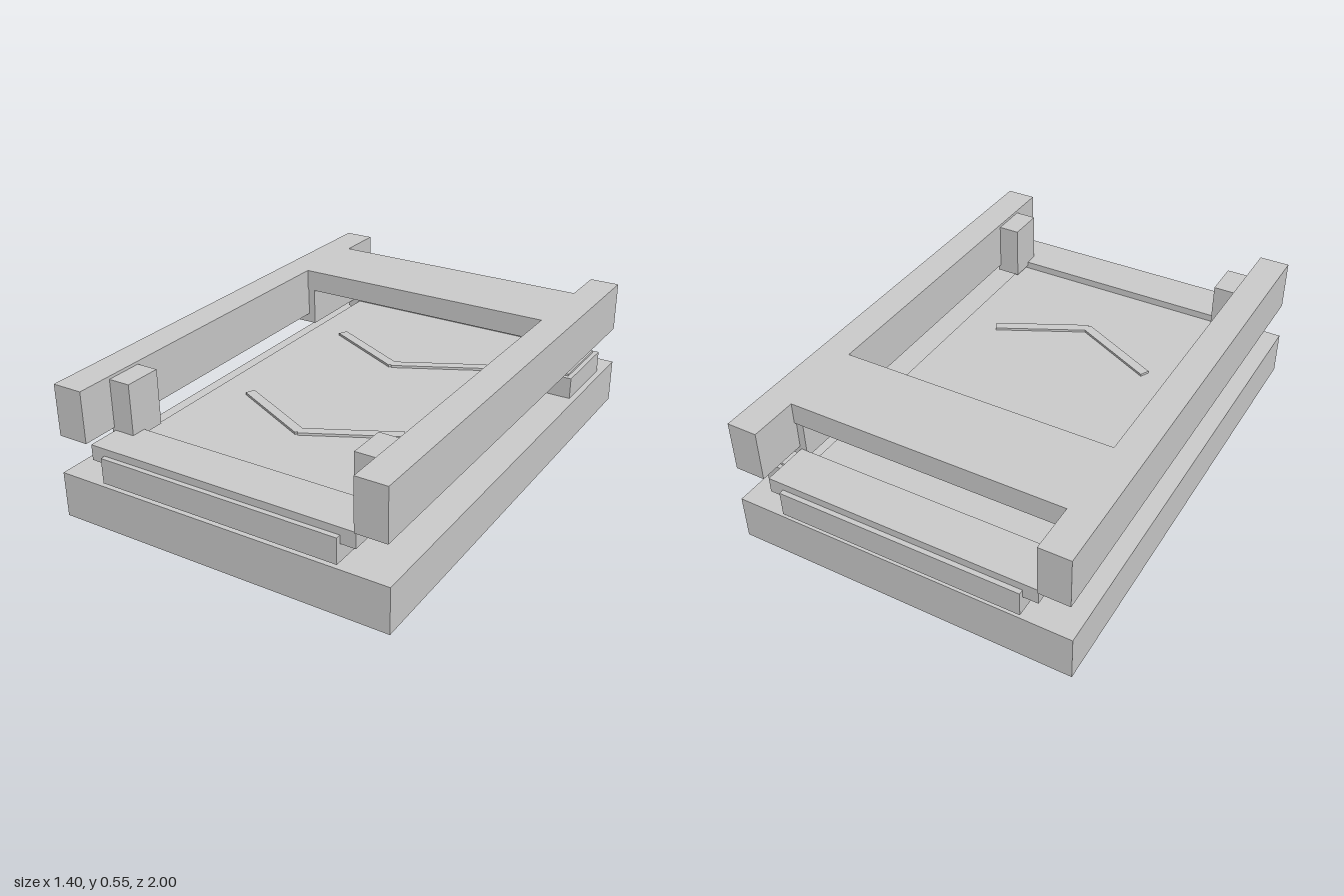
import * as THREE from 'three';

const material = new THREE.MeshStandardMaterial({ color: 0xcccccc, flatShading: true });

export function createModel() {
  const model = new THREE.Group();
  model.name = 'slidingFrameAssembly';

  const add = (name, geometry, parent = model) => {
    const mesh = new THREE.Mesh(geometry, material);
    mesh.name = name;
    parent.add(mesh);
    return mesh;
  };

  // Box from its minimum and maximum on each axis
  const box = (name, x0, x1, y0, y1, z0, z1) => {
    const mesh = add(name, new THREE.BoxGeometry(x1 - x0, y1 - y0, z1 - z0));
    mesh.position.set((x0 + x1) / 2, (y0 + y1) / 2, (z0 + z1) / 2);
    return mesh;
  };

  // The same box on the left (+x) and right (-x)
  const pair = (name, x0, x1, ...rest) => {
    box(name + 'Left', x0, x1, ...rest);
    box(name + 'Right', -x1, -x0, ...rest);
  };

  // Base slab and the carriage deck above it
  box('base', -0.7, 0.7, 0, 0.185, -1, 1);
  box('deck', -0.5, 0.5, 0.2, 0.303, -1, 1);

  // Rollers under the deck and cross bars over its ends
  for (const [end, s] of [['front', 1], ['back', -1]]) {
    const roller = add(end + 'Roller', new THREE.CylinderGeometry(0.06, 0.06, 0.95, 16));
    roller.rotation.z = Math.PI / 2;
    roller.position.set(0, 0.225, s * 0.92);
    const zs = [s * 0.79, s * 0.98].sort((a, b) => a - b);
    box(end + 'Bar', -0.56, 0.56, 0.27, 0.333, ...zs);
  }

  // Upper frame: side rails joined by a bridge plate
  pair('rail', 0.565, 0.69, 0.343, 0.552, -1, 1);
  box('bridge', -0.565, 0.565, 0.462, 0.552, -0.8, -0.45);

  // Lugs below the bridge and posts at the front of the rails
  pair('lug', 0.535, 0.65, 0.302, 0.47, -0.79, -0.455);
  pair('post', 0.475, 0.575, 0.315, 0.54, 0.695, 0.85);

  // Side block with a thin contact plate, on the left only
  box('sideBlock', 0.475, 0.675, 0.185, 0.276, -0.87, -0.55);
  box('contactPlate', 0.5, 0.655, 0.276, 0.285, -0.85, -0.57);

  // Raised chevrons on the deck
  for (const z of [0.383, -0.317]) {
    const chevron = new THREE.Group();
    chevron.name = 'chevron';
    chevron.position.set(0, 0.307, z);
    model.add(chevron);
    for (const s of [1, -1]) {
      const arm = add('chevronArm', new THREE.BoxGeometry(0.4, 0.012, 0.04), chevron);
      arm.position.x = s * 0.175;
      arm.rotation.y = s * 0.464;
    }
  }

  return model;
}
